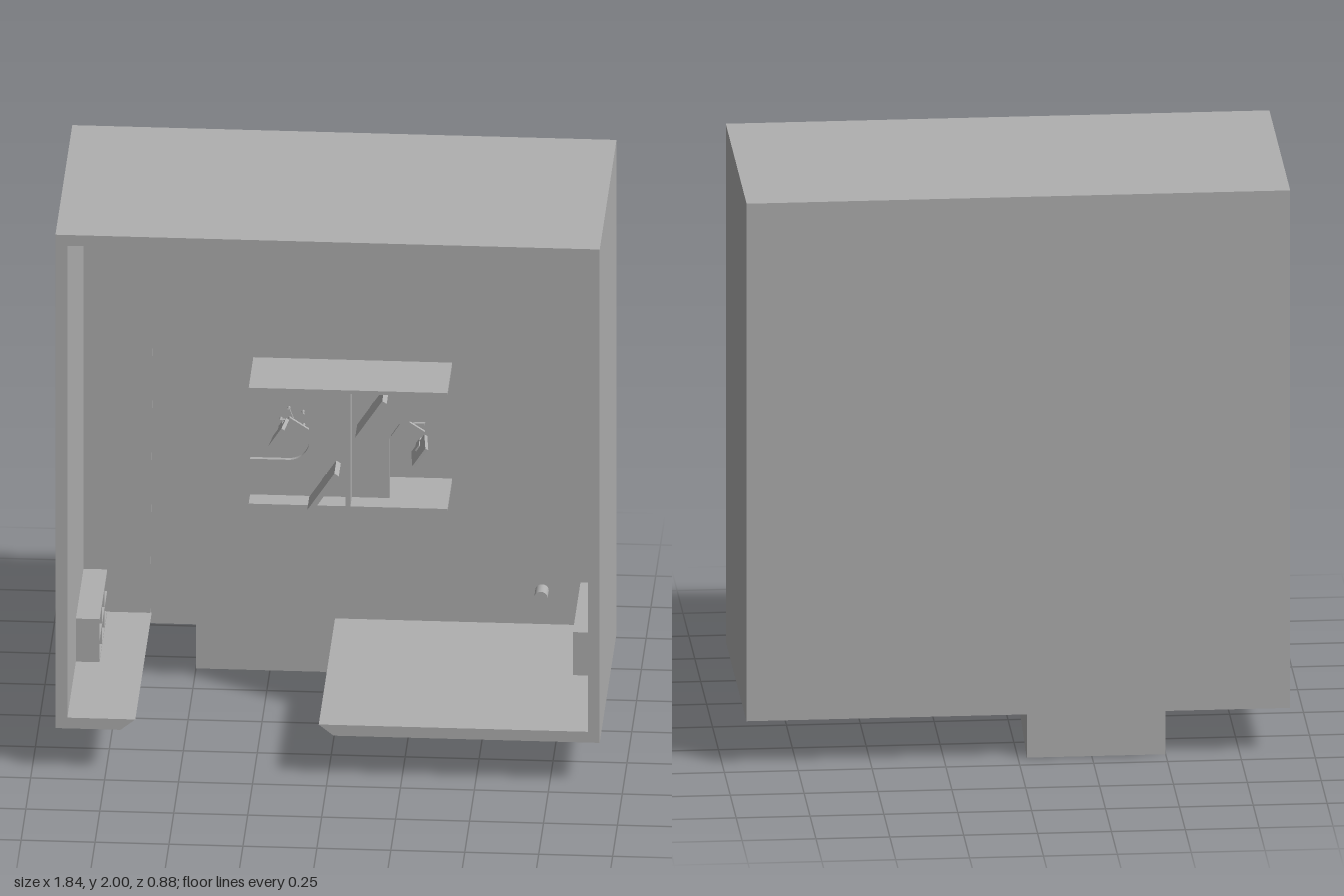
import * as THREE from 'three';

const grey = new THREE.MeshStandardMaterial({ color: 0xb0b0b0 });
grey.name = 'plain grey';
const greySheet = new THREE.MeshStandardMaterial({ color: 0xb0b0b0, side: THREE.DoubleSide });
greySheet.name = 'plain grey sheet';

// Box given by its extents on each axis
function box(name, parent, x0, x1, y0, y1, z0, z1) {
  const mesh = new THREE.Mesh(new THREE.BoxGeometry(x1 - x0, y1 - y0, z1 - z0), grey);
  mesh.position.set((x0 + x1) / 2, (y0 + y1) / 2, (z0 + z1) / 2);
  mesh.name = name;
  parent.add(mesh);
  return mesh;
}

// Outline in x, y pushed from z0 to z1
function slab(name, parent, shape, z0, z1) {
  const geometry = new THREE.ExtrudeGeometry(shape, { depth: z1 - z0, bevelEnabled: false, curveSegments: 10 });
  const mesh = new THREE.Mesh(geometry, grey);
  mesh.position.z = z0;
  mesh.name = name;
  parent.add(mesh);
  return mesh;
}

const outline = (points) => new THREE.Shape(points.map(([x, y]) => new THREE.Vector2(x, y)));

// Round part whose axis runs along z
function rod(name, parent, radius, x, y, z0, z1, sides = 16) {
  const mesh = new THREE.Mesh(new THREE.CylinderGeometry(radius, radius, z1 - z0, sides), grey);
  mesh.rotation.x = Math.PI / 2;
  mesh.position.set(x, y, (z0 + z1) / 2);
  mesh.name = name;
  parent.add(mesh);
}

// Open cabinet with two rows of three compartments, facing +x
function createCabinet() {
  const cabinet = new THREE.Group();
  cabinet.name = 'cabinet';
  const y0 = 0.205, y1 = 0.365, z0 = -0.41, z1 = -0.01, t = 0.008;
  box('cabinetBack', cabinet, -0.88, -0.83, y0, y1, z0, z1);
  for (let i = 0; i < 3; i++) {
    const y = y0 + (i * (y1 - y0 - t)) / 2;
    box('cabinetShelf', cabinet, -0.83, -0.8, y, y + t, z0, z1);
  }
  for (let i = 0; i < 4; i++) {
    const z = z0 + (i * (z1 - z0 - t)) / 3;
    box('cabinetDivider', cabinet, -0.83, -0.8, y0, y1, z, z + t);
  }
  return cabinet;
}

// Chair in its own frame: it faces +x, with its height along z
function createChair() {
  const chair = new THREE.Group();
  chair.name = 'chair';
  box('chairSeat', chair, -0.035, 0.05, -0.04, 0.04, -0.31, -0.298);
  const back = box('chairBack', chair, -0.052, -0.04, -0.04, 0.04, -0.28, -0.18);
  back.rotation.y = -0.12;
  box('chairBackSupport', chair, -0.045, -0.033, -0.012, 0.012, -0.31, -0.24);
  rod('chairPost', chair, 0.007, 0, 0, -0.39, -0.31);
  for (let i = 0; i < 5; i++) {
    const leg = new THREE.Group();
    leg.name = 'chairLeg';
    leg.rotation.z = (i * Math.PI * 2) / 5;
    box('legBar', leg, 0, 0.045, -0.004, 0.004, -0.395, -0.385);
    rod('legFoot', leg, 0.005, 0.042, 0, -0.41, -0.395, 8);
    chair.add(leg);
  }
  return chair;
}

// One half of the paired workstation, placed about the shared centre
function createWorkstation() {
  const station = new THREE.Group();
  station.name = 'workstation';
  box('partition', station, -0.336, 0.336, 0.209, 0.222, -0.41, -0.165);

  // L-shaped desk with a rounded inner corner
  const desk = new THREE.Shape();
  desk.moveTo(-0.336, -0.215);
  desk.lineTo(-0.008, -0.215);
  desk.lineTo(-0.008, 0.21);
  desk.lineTo(-0.136, 0.21);
  desk.lineTo(-0.136, -0.007);
  desk.absarc(-0.206, -0.007, 0.07, 0, -Math.PI / 2, true);
  desk.lineTo(-0.336, -0.077);
  desk.closePath();
  slab('desk', station, desk, -0.255, -0.24);

  const screen = new THREE.Group();
  screen.name = 'screen';
  screen.position.set(-0.081, -0.137, 0);
  screen.rotation.z = -0.585;
  box('screenPanel', screen, -0.009, 0.009, -0.083, 0.083, -0.215, -0.11);
  box('screenStand', screen, -0.005, 0.005, -0.012, 0.012, -0.24, -0.215);
  station.add(screen);

  const chair = createChair();
  chair.position.set(-0.2, 0.001, 0);
  chair.rotation.z = -0.585;
  station.add(chair);
  return station;
}

export function createModel() {
  const model = new THREE.Group();
  model.name = 'office';

  // Outer frame, open in front, with a bevelled gap in its lower wall
  slab('frame', model, outline([
    [0.02, 0.165], [0.92, 0.165], [0.92, 2], [-0.92, 2], [-0.92, 0.165], [-0.7, 0.165],
    [-0.65, 0.205], [-0.88, 0.205], [-0.88, 1.96], [0.88, 1.96], [0.88, 0.205], [-0.03, 0.205],
  ]), -0.44, 0.44);
  box('backWall', model, -0.9, 0.9, 0.165, 1.98, -0.44, -0.42);

  // Inner lining that drops below the gap, and the narrow side strip
  slab('backLining', model, outline([
    [-0.5, 0.005], [-0.03, 0.005], [-0.03, 0.205], [0.88, 0.205], [0.88, 1.96], [-0.5, 1.96],
  ]), -0.42, -0.412);
  slab('sideLining', model, outline([
    [-0.88, 0.205], [-0.655, 0.205], [-0.645, 1.35], [-0.645, 1.96], [-0.88, 1.96],
  ]), -0.42, -0.416);

  // Tapered side sheet beside the gap
  const taper = new THREE.BufferGeometry();
  taper.setAttribute('position', new THREE.Float32BufferAttribute(
    [-0.03, 0.205, 0.415, -0.03, 0.005, -0.412, -0.03, 0.205, -0.412], 3));
  taper.computeVertexNormals();
  const sheet = new THREE.Mesh(taper, greySheet);
  sheet.name = 'taperedSheet';
  model.add(sheet);

  // Two cabinets facing each other
  const left = createCabinet();
  const right = createCabinet();
  right.rotation.y = Math.PI;
  right.position.z = -0.42;
  model.add(left, right);

  rod('wasteBin', model, 0.023, 0.67, 0.33, -0.412, -0.35, 24);

  // Two workstations back to back around a shared divider
  const desks = new THREE.Group();
  desks.name = 'deskCluster';
  desks.position.set(0.03, 0.947, 0);
  box('divider', desks, -0.008, 0.008, -0.21, 0.21, -0.41, -0.165);
  for (const angle of [0, Math.PI]) {
    const station = createWorkstation();
    station.rotation.z = angle;
    desks.add(station);
  }
  model.add(desks);

  model.position.y = -0.005;
  const group = new THREE.Group();
  group.name = 'model';
  group.add(model);
  return group;
}
